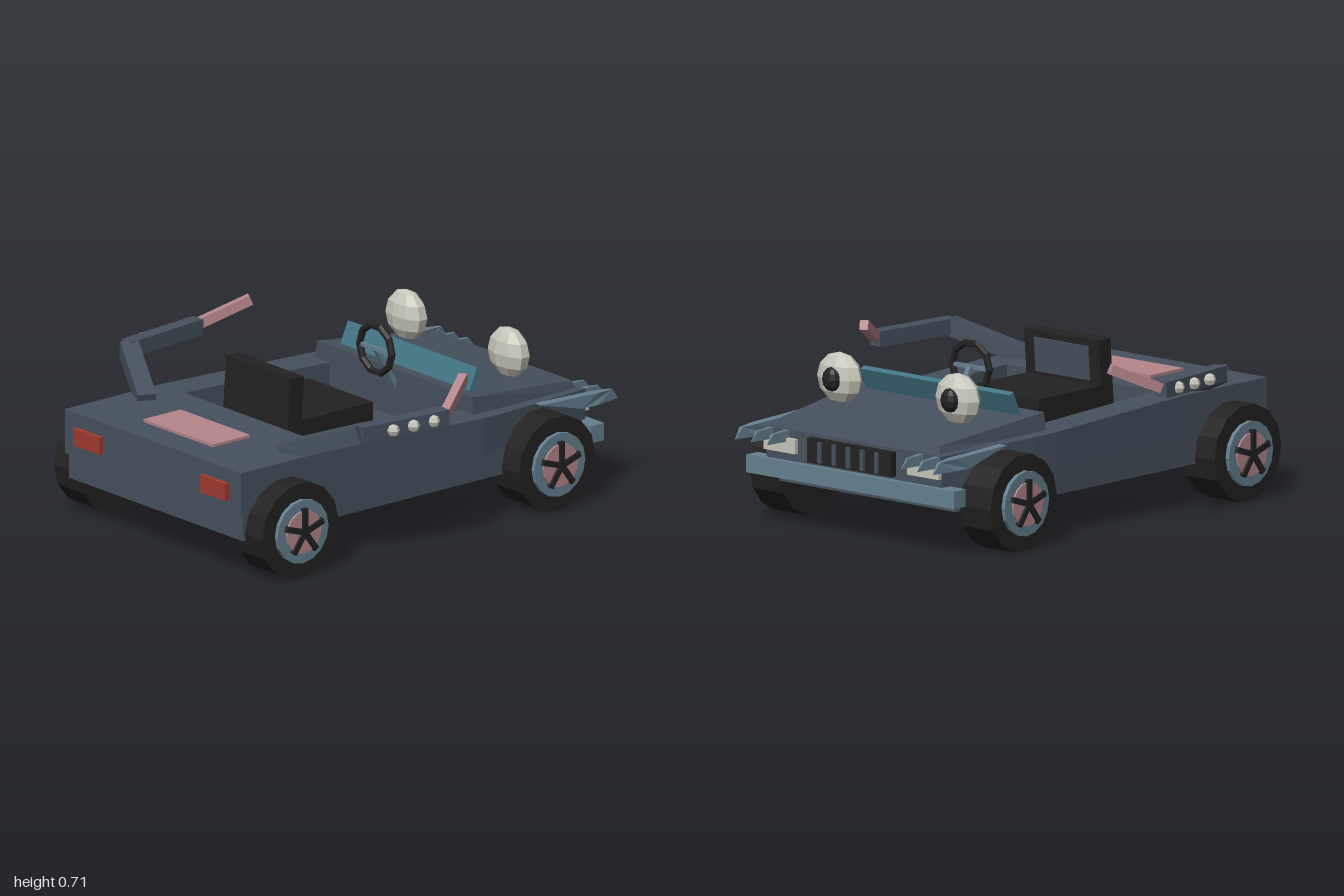
import * as THREE from 'three';

const mat = (name, color) => {
  const m = new THREE.MeshStandardMaterial({ color, flatShading: true });
  m.name = name;
  return m;
};

export function createModel() {
  const root = new THREE.Group();
  root.name = 'openBuggy';
  const slate = mat('slateBody', 0x46515e);
  const steel = mat('steelBlue', 0x66808f);
  const black = mat('black', 0x222222);
  const cream = mat('cream', 0xc6c6ba);
  const pink = mat('pink', 0xb5858a);
  const teal = mat('tealGlass', 0x437585);
  const red = mat('red', 0xa03a30);

  const add = (name, geo, m, x = 0, y = 0, z = 0, parent = root) => {
    const mesh = new THREE.Mesh(geo, m);
    mesh.name = name;
    mesh.position.set(x, y, z);
    parent.add(mesh);
    return mesh;
  };
  const box = (name, m, w, h, d, x, y, z, parent) =>
    add(name, new THREE.BoxGeometry(w, h, d), m, x, y, z, parent);
  // Square bar running between two points
  const beam = (name, m, a, b, w, h) => {
    const A = new THREE.Vector3(...a), B = new THREE.Vector3(...b);
    const mesh = new THREE.Mesh(new THREE.BoxGeometry(w, h, A.distanceTo(B)), m);
    mesh.name = name;
    mesh.position.copy(A).add(B).multiplyScalar(0.5);
    mesh.lookAt(B);
    root.add(mesh);
    return mesh;
  };
  // Moves every vertex by a rule
  const reshape = (geo, rule) => {
    const p = geo.attributes.position, v = new THREE.Vector3();
    for (let i = 0; i < p.count; i++) {
      rule(v.fromBufferAttribute(p, i));
      p.setXYZ(i, v.x, v.y, v.z);
    }
    geo.computeVertexNormals();
    return geo;
  };
  // Mirrored plan outline of [x, z] points, extruded upward
  const outline = (half) => [...half, ...half.map(([x, z]) => [-x, z]).reverse()]
    .map(([x, z]) => new THREE.Vector2(x, -z));
  const slab = (half, y0, y1, hole) => {
    const s = new THREE.Shape(outline(half));
    if (hole) s.holes.push(new THREE.Path(outline(hole)));
    const g = new THREE.ExtrudeGeometry(s, { depth: y1 - y0, bevelEnabled: false });
    return g.rotateX(-Math.PI / 2).translate(0, y0, 0);
  };

  // Hull: lower tub with floor, upper shell around the cockpit
  add('lowerHull', slab([[0.54, 0.965], [0.54, -0.4], [0.47, -0.8]], 0.17, 0.3), slate);
  const shell = slab(
    [[0.545, 0.98], [0.545, 0.48], [0.55, -0.28], [0.54, -0.4], [0.47, -0.88]], 0.275, 0.46,
    [[0.4, 0.48], [0.4, -0.28]]);
  reshape(shell, (v) => {
    if (v.y > 0.4 && v.z < 0.47) v.y = 0.455 + (v.z - 0.48) * 0.035;
  });
  add('upperHull', shell, slate);

  // Raised sloping hood
  const hood = slab([[0.495, -0.28], [0.44, -0.86]], 0.4, 0.5);
  reshape(hood, (v) => {
    if (v.y > 0.45) {
      v.x *= 0.97;
      v.y = v.z < -0.5 ? 0.44 : 0.5;
      if (v.z < -0.5) v.z = -0.845;
    }
  });
  add('hood', hood, slate);
  box('deckPanel', pink, 0.43, 0.012, 0.195, 0, 0.466, 0.752);

  // Windscreen strip, steering wheel and column
  beam('windscreen', teal, [0, 0.49, -0.347], [0, 0.58, -0.385], 0.8, 0.026);
  add('steeringWheel', new THREE.TorusGeometry(0.1, 0.015, 6, 10), black, 0, 0.605, -0.182);
  beam('steeringColumn', steel, [0, 0.605, -0.185], [0, 0.43, -0.285], 0.022, 0.022);
  box('steeringSpoke', steel, 0.19, 0.016, 0.012, 0, 0.605, -0.182);

  // Seat
  box('seatCushion', black, 0.4, 0.17, 0.4, 0, 0.385, 0.2);
  beam('seatBack', black, [0, 0.31, 0.42], [0, 0.655, 0.395], 0.4, 0.07);
  beam('seatBackPanel', slate, [0, 0.485, 0.372], [0, 0.625, 0.3615], 0.29, 0.012);

  // Grille and bumper
  box('grille', black, 0.45, 0.1, 0.035, 0, 0.345, -0.892);
  for (let i = -2; i <= 2; i++) {
    box('grilleSlat', slate, 0.018, 0.085, 0.015, i * 0.076, 0.345, -0.913);
  }
  box('bumper', steel, 1.115, 0.072, 0.07, 0, 0.245, -0.87);

  // Tapered lash blade starting at z = back
  const lash = (back, x) => {
    const pts = back > -0.7
      ? [[-0.58, 0.42], [-0.88, 0.41], [-0.965, 0.405], [-1, 0.36], [-0.88, 0.36], [-0.8, 0.36]]
      : [[back, 0.405], [-0.965, 0.4], [-1, 0.36], [back, 0.36]];
    const s = new THREE.Shape(pts.map(([z, y]) => new THREE.Vector2(-z, y)));
    const w = back > -0.7 ? 0.04 : 0.026;
    const g = new THREE.ExtrudeGeometry(s, { depth: w, bevelEnabled: false });
    g.translate(0, 0, -w / 2).rotateY(Math.PI / 2);
    reshape(g, (v) => { v.x *= Math.min(1, (v.z + 1) / 0.12 + 0.08); });
    add('lash', g, steel, x);
  };

  // Wheel: tyre, rim, disc and five spokes, outside facing +x
  const wheel = (s, z) => {
    const g = new THREE.Group();
    g.name = 'wheel';
    g.position.set(s * 0.5625, 0.198, z);
    if (s < 0) g.rotation.y = Math.PI;
    const disc = (name, m, r, x0, x1, n) => add(name,
      new THREE.CylinderGeometry(r, r, x1 - x0, n).rotateZ(Math.PI / 2), m, (x0 + x1) / 2, 0, 0, g);
    disc('tyre', black, 0.2, -0.0825, 0.0825, 14);
    disc('rim', steel, 0.133, 0, 0.1, 16);
    disc('wheelDisc', pink, 0.09, 0.05, 0.108, 16);
    for (let i = 0; i < 5; i++) {
      const a = (i * Math.PI * 2) / 5;
      const spoke = box('spoke', black, 0.02, 0.1, 0.024, 0.108,
        Math.cos(a) * 0.05, Math.sin(a) * 0.05, g);
      spoke.rotation.x = a;
    }
    root.add(g);
  };

  for (const s of [1, -1]) {
    wheel(s, 0.755);
    wheel(s, -0.585);

    // Eyes standing on the hood
    add('eye', new THREE.SphereGeometry(1, 9, 6).scale(0.112, 0.105, 0.06), cream, s * 0.317, 0.583, -0.61);
    add('pupil', new THREE.SphereGeometry(1, 10, 6).scale(0.045, 0.05, 0.03), black, s * 0.317, 0.583, -0.66);

    // Headlamps with lashes
    box('headlamp', cream, 0.17, 0.06, 0.02, s * 0.385, 0.345, -0.888);
    lash(-0.58, s * 0.53);
    lash(-0.88, s * 0.445);
    lash(-0.88, s * 0.36);

    // Arms with hands and studs
    beam('upperArm', slate, [s * 0.42, 0.455, 0.66], [s * 0.72, 0.572, 0.5], 0.075, 0.07);
    beam('forearm', slate, [s * 0.72, 0.573, 0.51], [s * 0.765, 0.573, 0.1], 0.06, 0.064);
    beam('hand', pink, [s * 0.765, 0.58, 0.1], [s * 0.66, 0.67, -0.085], 0.035, 0.04);
    for (const z of [0.18, 0.28, 0.38]) {
      add('armStud', new THREE.SphereGeometry(0.026, 6, 4), cream, s * (0.79 - (z - 0.18) * 0.06), 0.573, z);
    }

    box('tailLamp', red, 0.16, 0.072, 0.03, s * 0.39, 0.365, 0.985);
  }
  return root;
}
